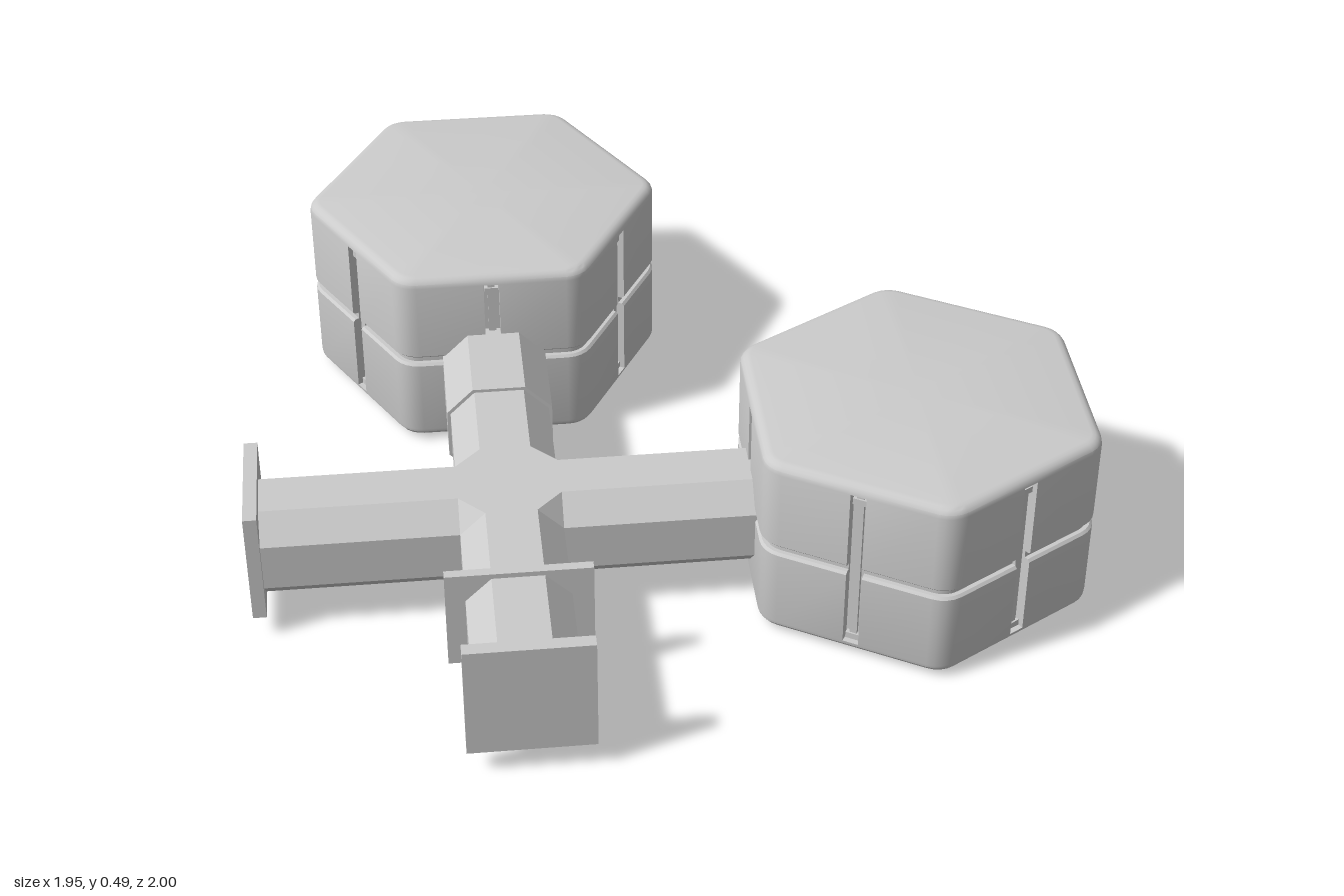
import * as THREE from 'three';
import { mergeGeometries, toCreasedNormals } from 'three/addons/utils/BufferGeometryUtils.js';
import { ConvexGeometry } from 'three/addons/geometries/ConvexGeometry.js';

const material = new THREE.MeshStandardMaterial({ color: 0xcccccc });
const APOTHEM = 0.39, CORNER = 0.07;
const HUB = new THREE.Vector3(-0.37, 0.19, 0.355);

function add(parent, name, geometry, x = 0, y = 0, z = 0) {
  const mesh = new THREE.Mesh(geometry, material);
  mesh.name = name;
  mesh.position.set(x, y, z);
  parent.add(mesh);
  return mesh;
}

// Hexagon with rounded corners and a notch in the middle of each side
function hexRing(inset, y, notch) {
  const a = APOTHEM - inset, r = Math.min(a, Math.max(0.012, CORNER - inset));
  const h = Math.min(0.019, a * 0.3), points = [];
  for (let k = 0; k < 6; k++) {
    const face = k * Math.PI / 3, c = Math.cos(face), s = Math.sin(face);
    for (const [t, d] of [[-h, 0], [-h, notch], [h, notch], [h, 0]]) {
      points.push([(a - d) * c - t * s, y, (a - d) * s + t * c]);
    }
    const corner = face + Math.PI / 6, dist = (a - r) / Math.cos(Math.PI / 6);
    for (let i = 0; i <= 4; i++) {
      const q = face + i * Math.PI / 12;
      points.push([dist * Math.cos(corner) + r * Math.cos(q), y, dist * Math.sin(corner) + r * Math.sin(q)]);
    }
  }
  return points;
}

function loft(rings) {
  const n = rings[0].length, index = [];
  for (let j = 0; j < rings.length - 1; j++) {
    for (let i = 0; i < n; i++) {
      const a = j * n + i, b = j * n + (i + 1) % n;
      index.push(a, a + n, b, b, a + n, b + n);
    }
  }
  const geometry = new THREE.BufferGeometry();
  geometry.setAttribute('position', new THREE.Float32BufferAttribute(rings.flat(2), 3));
  geometry.setIndex(index);
  return toCreasedNormals(geometry, 0.45);
}

function podShell() {
  // inset, height, slot depth: from the recessed underside up to the roof
  const profile = [
    [0.39, 0.03, 0], [0.065, 0.03, 0], [0.05, 0.01, 0], [0.025, 0.01, 0],
    [0.01, 0.016, 0], [0.002, 0.026, 0], [0, 0.035, 0], [0, 0.035, 0.025],
    [0, 0.232, 0.025], [0.006, 0.238, 0.019], [0.016, 0.238, 0.009],
    [0.016, 0.256, 0.009], [0.006, 0.256, 0.019], [0, 0.262, 0.025],
    [0, 0.465, 0.025], [0, 0.465, 0],
    [0.002, 0.475, 0], [0.008, 0.483, 0], [0.016, 0.488, 0], [0.026, 0.49, 0], [0.39, 0.49, 0],
  ];
  return loft(profile.map(p => hexRing(...p)));
}

// Ribs running square to each side of the underside
function undersideRibs() {
  const ribs = [];
  for (let k = 0; k < 6; k++) {
    for (let i = -5; i <= 5; i++) {
      const t = i * 0.031, start = Math.abs(t) * 1.732 + 0.03, end = 0.325;
      if (end - start < 0.01) continue;
      const rib = new THREE.BoxGeometry(end - start, 0.03, 0.012);
      rib.translate((start + end) / 2, 0.018, t);
      ribs.push(rib.rotateY(k * Math.PI / 3));
    }
  }
  return mergeGeometries(ribs);
}

function makePod(name, x, z, turn) {
  const pod = new THREE.Group();
  pod.name = name;
  add(pod, 'podShell', podShell());
  add(pod, 'undersideRibs', undersideRibs());
  add(pod, 'undersideHatch', new THREE.BoxGeometry(0.1, 0.03, 0.06), 0, 0.016, 0);
  // Strips and end stops set inside the side slots
  const fittings = [];
  for (let k = 0; k < 6; k++) {
    for (const [w, h, d, y] of [[0.018, 0.41, 0.012, 0.25], [0.034, 0.016, 0.02, 0.045], [0.034, 0.016, 0.02, 0.44]]) {
      fittings.push(new THREE.BoxGeometry(d, h, w).translate(0.368, y, 0).rotateY(k * Math.PI / 3));
    }
  }
  add(pod, 'slotFittings', mergeGeometries(fittings));
  pod.position.set(x, 0, z);
  pod.rotation.y = turn;
  return pod;
}

// Eight-sided corridor along z
function corridor(half, bevel, from, to) {
  const f = half - bevel;
  const outline = [[half, -f], [half, f], [f, half], [-f, half], [-half, f], [-half, -f], [-f, -half], [f, -half]];
  const shape = new THREE.Shape(outline.map(p => new THREE.Vector2(...p)));
  return new THREE.ExtrudeGeometry(shape, { depth: to - from, bevelEnabled: false }).translate(0, 0, from);
}

export function createModel() {
  const model = new THREE.Group();
  model.name = 'station';

  // Two six-sided pods
  model.add(makePod('backPod', -0.37, -0.61, Math.PI / 6));
  model.add(makePod('leftPod', 0.585, 0.36, 0));

  // Crossing corridors and their bevelled junction
  const { x, y, z } = HUB;
  const arms = [
    ['frontCorridor', 0.1, 0.62, 0],
    ['backCorridor', 0.1, 0.62, Math.PI],
    ['leftCorridor', 0.1, 0.62, Math.PI / 2],
    ['rightCorridor', 0.1, 0.59, -Math.PI / 2],
  ];
  for (const [name, from, to, turn] of arms) {
    add(model, name, corridor(0.12, 0.06, from, to), x, y, z).rotation.y = turn;
  }
  const corners = [];
  for (const a of [-1, 1]) for (const b of [-1, 1]) for (const c of [-1, 1]) {
    for (const [i, j, k] of [[1, 2, 2], [2, 1, 2], [2, 2, 1]]) {
      corners.push(new THREE.Vector3(a * i, b * j, c * k).multiplyScalar(0.06));
    }
  }
  add(model, 'junction', new ConvexGeometry(corners), x, y, z);
  add(model, 'backSleeve', corridor(0.128, 0.064, -0.25, 0.01), x, y, 0);

  // End plates and the collar plate
  add(model, 'frontEndPlate', new THREE.BoxGeometry(0.29, 0.29, 0.032), -0.365, 0.208, 0.984);
  add(model, 'rightEndPlate', new THREE.BoxGeometry(0.032, 0.29, 0.29), -0.964, 0.2, 0.345);
  add(model, 'collarPlate', new THREE.BoxGeometry(0.335, 0.255, 0.022), -0.368, 0.195, 0.697);
  return model;
}
